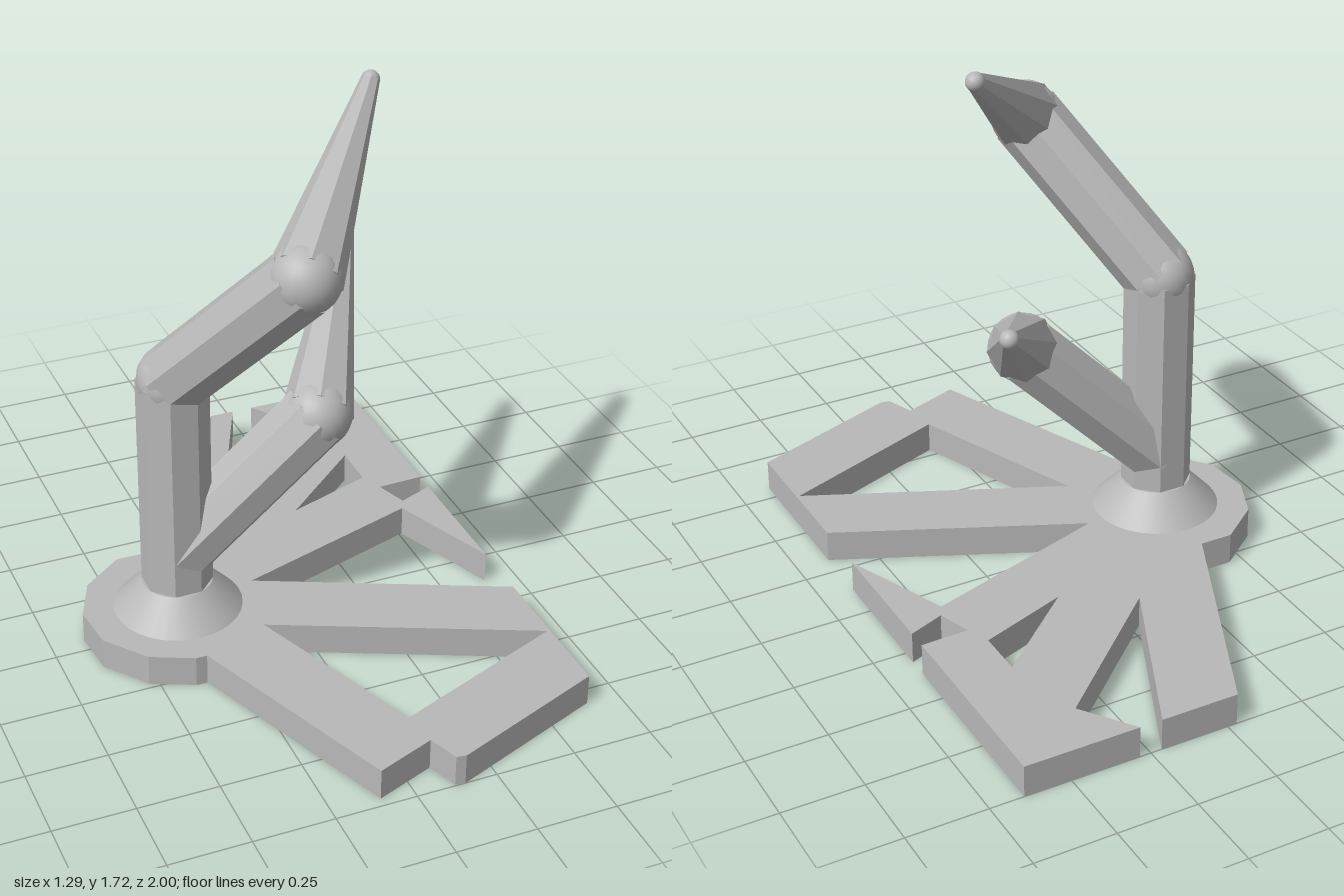
import * as THREE from 'three';

const grey = new THREE.MeshStandardMaterial({ color: 0xb8b8b8 });
grey.name = 'plainGrey';

const v = (x, y, z) => new THREE.Vector3(x, y, z);

export function createModel() {
  const group = new THREE.Group();

  const add = (name, geometry) => {
    const mesh = new THREE.Mesh(geometry, grey);
    mesh.name = name;
    group.add(mesh);
    return mesh;
  };

  // Eight-sided faceted limb between two points
  const limb = (name, a, b, ra, rb) => {
    const dir = b.clone().sub(a);
    const geo = new THREE.CylinderGeometry(rb, ra, dir.length(), 8)
      .rotateY(Math.PI / 8).toNonIndexed();
    geo.computeVertexNormals();
    const mesh = add(name, geo);
    mesh.position.copy(a).add(b).multiplyScalar(0.5);
    mesh.quaternion.setFromUnitVectors(v(0, 1, 0), dir.normalize());
  };

  const ball = (name, p, r) =>
    add(name, new THREE.SphereGeometry(r, 24, 16)).position.copy(p);

  // Flat base with splayed, notched arms; points are [x, z]
  const toShape = (pts) => pts.map(([x, z]) => new THREE.Vector2(x, -z));
  const base = new THREE.Shape(toShape([
    [-0.35, -0.29], [-0.455, -0.29], [-0.585, -0.19], [-0.645, -0.05],
    [-0.63, 0.1], [-0.53, 0.23], [-0.4, 0.29], [-0.365, 0.29],
    // front loop
    [-0.1, 0.97], [0.085, 0.9], [0.12, 0.995], [0.15, 1], [0.645, 0.81],
    [0.645, 0.32], [-0.1, -0.02],
    // side spur and notch
    [0.51, -0.215], [0.645, 0.13], [0.645, -0.3], [0.53, -0.255],
    [0.495, -0.36], [0.645, -0.365],
    // rear fan
    [0.645, -1], [0.285, -1], [0.4, -0.84], [-0.03, -0.455],
    [0.215, -1], [-0.03, -1],
  ]));
  const holes = [
    [[-0.15, 0.21], [0.07, 0.785], [0.635, 0.565]],
    [[0.18, -0.335], [0.465, -0.585], [0.465, -0.435]],
  ];
  for (const h of holes) base.holes.push(new THREE.Path(toShape(h)));
  add('base', new THREE.ExtrudeGeometry(base, { depth: 0.1, bevelEnabled: false })
    .rotateX(-Math.PI / 2));

  // Conical collar at the foot of the trunk
  add('collar', new THREE.CylinderGeometry(0.11, 0.2, 0.095, 32))
    .position.set(-0.352, 0.1475, 0);

  // Trunk with a tall bent arm
  const R = 0.11;
  const shoulder = v(-0.352, 0.9, 0);
  const elbow = v(-0.08, 1.35, 0.355);
  const tip = v(0.318, 1.69, -0.115);
  limb('trunk', v(-0.352, 0.15, 0), shoulder, R, R);
  ball('shoulderJoint', shoulder, 0.106);
  limb('upperArm', shoulder, elbow, R, R);
  ball('elbowJoint', elbow, 0.106);
  limb('upperFinger', elbow, tip, R, 0.028);
  ball('upperFingertip', tip, 0.028);

  // Lower bent branch
  const root = v(-0.352, 0.295, 0);
  const knuckle = v(0.08, 0.725, 0.075);
  const lowTip = v(0.392, 1.07, -0.447);
  limb('lowerArm', root, knuckle, R, R);
  ball('knuckleJoint', knuckle, 0.106);
  limb('lowerFinger', knuckle, lowTip, R, 0.028);
  ball('lowerFingertip', lowTip, 0.028);

  return group;
}
